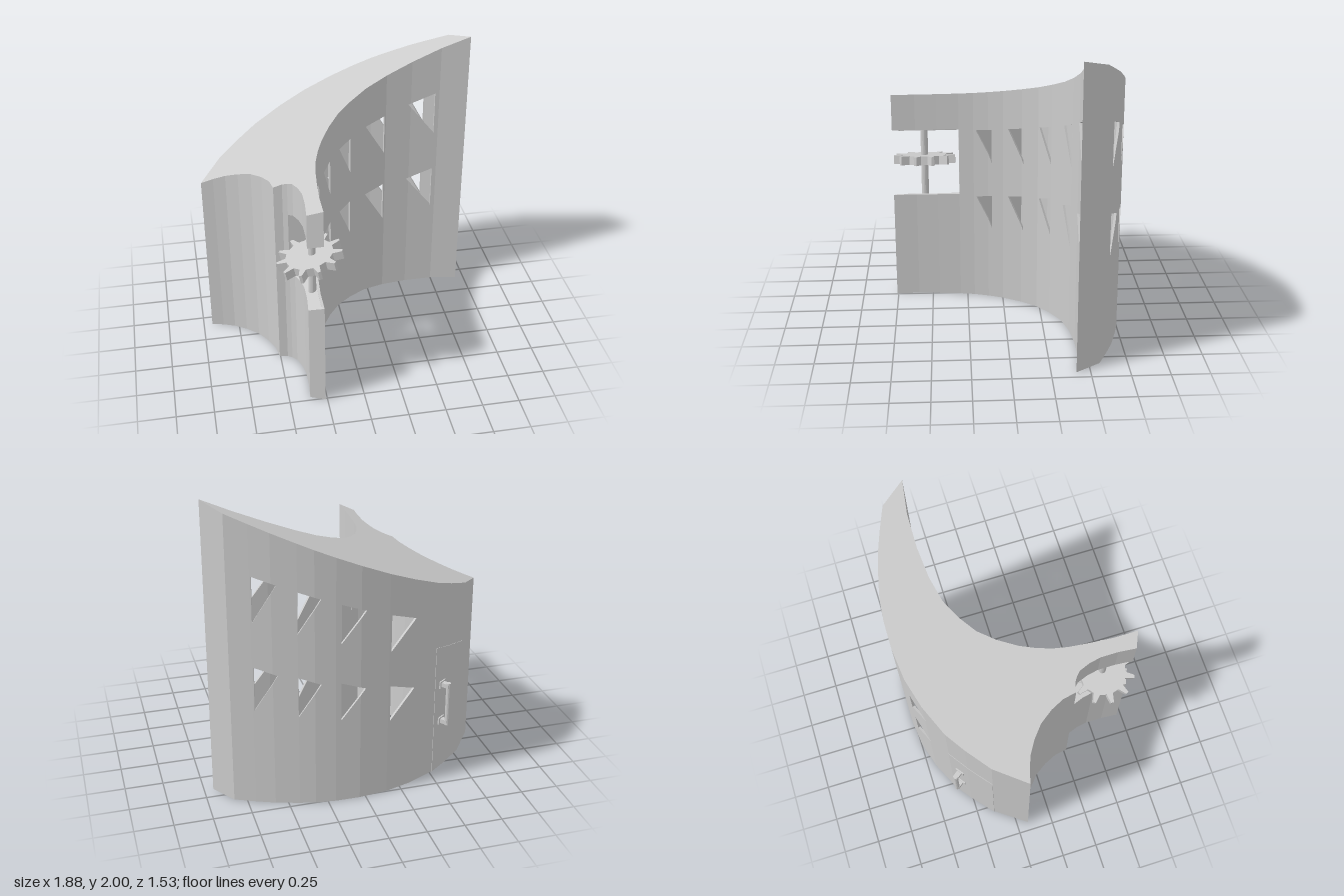
import * as THREE from 'three';
import { mergeGeometries } from 'three/addons/utils/BufferGeometryUtils.js';

const material = new THREE.MeshStandardMaterial({ color: 0xcccccc, flatShading: true, side: THREE.DoubleSide });
const WALL = 0.016;

// Sloping planes, as heights over x
const roofY = x => 1.6 + 0.4255 * x;
const notchFloorY = x => 0.84 + 0.3 * x;
const notchCeilingY = x => 1.315 + 0.3 * x;
const windowTopY = x => 1.32 + 0.36 * x;
const doorTopY = x => 1.075 + 0.29 * x;

// Plan curves as [x, z], running clockwise seen from above
const backCurve = [[-0.94, -0.17], [-0.79, -0.38], [-0.64, -0.51], [-0.52, -0.6], [-0.33, -0.69], [-0.15, -0.745],
  [0.04, -0.767], [0.2, -0.765], [0.33, -0.75], [0.43, -0.725], [0.58, -0.68], [0.7, -0.63], [0.83, -0.57]];
const frontCurve = [[0.94, -0.41], [0.75, -0.44], [0.55, -0.44], [0.37, -0.42], [0.22, -0.38], [0.1, -0.31],
  [0, -0.23], [-0.08, -0.125], [-0.15, 0], [-0.19, 0.1], [-0.22, 0.2], [-0.238, 0.3]];
const tailCurve = [[-0.238, 0.3], [-0.252, 0.45], [-0.262, 0.6], [-0.262, 0.76], [-0.36, 0.72], [-0.35, 0.6],
  [-0.35, 0.48], [-0.365, 0.4], [-0.39, 0.33], [-0.42, 0.3]];
const leftCurve = [[-0.42, 0.3], [-0.45, 0.28], [-0.505, 0.27], [-0.52, 0.18], [-0.56, 0.09], [-0.62, 0],
  [-0.7, -0.07], [-0.78, -0.12], [-0.86, -0.15]];

// Triangular windows: x range, height, and drop to the lower row
const frontWindows = [[0.53, 0.72, 0.31, 0.6], [0.22, 0.36, 0.29, 0.55], [0.01, 0.1, 0.265, 0.505],
  [-0.13, -0.07, 0.26, 0.49], [-0.215, -0.18, 0.24, 0.485]];
const backWindows = [[0.55, 0.69, 0.3, 0.6], [0.29, 0.43, 0.275, 0.57], [0.005, 0.165, 0.26, 0.53],
  [-0.345, -0.165, 0.25, 0.49]];

function add(group, name, geometry) {
  const mesh = new THREE.Mesh(geometry, material);
  mesh.name = name;
  group.add(mesh);
  return mesh;
}

// Six-sided block over plan corners p, q (outer) and pi, qi (inner), between two height functions
function block(p, q, pi, qi, low, high) {
  const corners = [];
  for (const [a, b] of [[p, q], [pi, qi]]) {
    corners.push([a[0], low(p[0]), a[1]], [a[0], high(p[0]), a[1]], [b[0], high(q[0]), b[1]], [b[0], low(q[0]), b[1]]);
  }
  const quads = [[0, 1, 2, 3], [7, 6, 5, 4], [1, 5, 6, 2], [0, 3, 7, 4], [0, 4, 5, 1], [3, 2, 6, 7]];
  const positions = quads.flatMap(([a, b, c, d]) => [a, b, c, a, c, d].flatMap(i => corners[i]));
  const geometry = new THREE.BufferGeometry();
  geometry.setAttribute('position', new THREE.Float32BufferAttribute(positions, 3));
  geometry.computeVertexNormals();
  return geometry;
}

// Flat plate over a plan outline, sheared to follow a height function
function slab(points, height, thickness) {
  const shape = new THREE.Shape(points.map(([x, z]) => new THREE.Vector2(x, z)));
  const geometry = new THREE.ExtrudeGeometry(shape, { depth: thickness, bevelEnabled: false });
  geometry.rotateX(Math.PI / 2);
  const pos = geometry.attributes.position;
  for (let i = 0; i < pos.count; i++) pos.setY(i, pos.getY(i) + height(pos.getX(i)));
  geometry.computeVertexNormals();
  return geometry;
}

// Adds points to a curve where windows begin and end
function splitAt(curve, windows) {
  const out = [];
  curve.forEach((p, i) => {
    out.push(p);
    const q = curve[i + 1];
    if (!q) return;
    windows.flatMap(w => [w[0], w[1]])
      .map(x => (x - p[0]) / (q[0] - p[0]))
      .filter(t => t > 0.001 && t < 0.999)
      .sort((a, b) => a - b)
      .forEach(t => out.push([p[0] + t * (q[0] - p[0]), p[1] + t * (q[1] - p[1])]));
  });
  return out;
}

// Moves every point of a closed outline inwards
function inset(points, distance) {
  const n = points.length;
  const normal = (a, b) => new THREE.Vector2(a[1] - b[1], b[0] - a[0]).normalize();
  return points.map((p, i) => {
    const before = normal(points[(i + n - 1) % n], p);
    const after = normal(p, points[(i + 1) % n]);
    const mid = before.clone().add(after).normalize();
    mid.multiplyScalar(distance / Math.max(mid.dot(after), 0.5));
    return [p[0] + mid.x, p[1] + mid.y];
  });
}

// Height gaps left open in a wall strip whose middle is at x
function gapsAt(x, windows) {
  const found = windows.find(w => x > w[0] && x < w[1]);
  if (!found) return [];
  const [x0, x1, drop, lower] = found;
  const y0 = windowTopY(x0), y1 = windowTopY(x1) - drop;
  const sill = v => y0 + (y1 - y0) * (v - x0) / (x1 - x0);
  return [[v => sill(v) - lower, v => windowTopY(v) - lower], [sill, windowTopY]];
}

export function createModel() {
  const model = new THREE.Group();
  model.name = 'curvedBuilding';

  // Walls, in strips with window and notch openings
  const sections = [
    { name: 'backWall', points: splitAt(backCurve, backWindows), gaps: x => gapsAt(x, backWindows) },
    { name: 'frontWall', points: splitAt(frontCurve, frontWindows).slice(0, -1), gaps: x => gapsAt(x, frontWindows) },
    { name: 'tailWall', points: tailCurve.slice(0, -1), gaps: () => [[notchFloorY, notchCeilingY]] },
    { name: 'leftWall', points: leftCurve, gaps: () => [] },
  ];
  const outline = sections.flatMap(s => s.points);
  const inner = inset(outline, WALL);
  let start = 0;
  for (const { name, points, gaps } of sections) {
    const blocks = [];
    for (let i = start; i < start + points.length; i++) {
      const j = (i + 1) % outline.length;
      const p = outline[i], q = outline[j];
      const edges = [() => 0, ...gaps((p[0] + q[0]) / 2).flat(), x => roofY(x) - 0.02];
      for (let k = 0; k < edges.length; k += 2) {
        blocks.push(block(p, q, inner[i], inner[j], edges[k], edges[k + 1]));
      }
    }
    add(model, name, mergeGeometries(blocks));
    start += points.length;
  }

  // Sloping roof
  add(model, 'roof', slab(outline, roofY, 0.02));

  // Notch linings
  add(model, 'notchFloor', slab(tailCurve, notchFloorY, WALL));
  add(model, 'notchCeiling', slab(tailCurve, x => notchCeilingY(x) + WALL, WALL));
  const [right, left] = [tailCurve[0], tailCurve[tailCurve.length - 1]];
  const behind = ([x, z]) => [x, z - WALL];
  add(model, 'notchBackWall', block(right, left, behind(right), behind(left), notchFloorY, notchCeilingY));

  // Gear with eleven tapered teeth, tilted on its axle
  const gearShape = new THREE.Shape();
  const teeth = 11;
  for (let i = 0; i < teeth; i++) {
    const a = Math.PI + i * Math.PI * 2 / teeth;
    [[-0.14, 0.155], [-0.045, 0.215], [0.045, 0.215], [0.14, 0.155]].forEach(([da, r], k) => {
      const x = r * Math.cos(a + da), y = r * Math.sin(a + da);
      if (i + k === 0) gearShape.moveTo(x, y);
      else gearShape.lineTo(x, y);
    });
  }
  const gearGeometry = new THREE.ExtrudeGeometry(gearShape, { depth: 0.06, bevelEnabled: false });
  gearGeometry.translate(0, 0, -0.03).rotateX(-Math.PI / 2);
  const gear = add(model, 'gear', gearGeometry);
  gear.position.set(-0.315, 1.01, 0.54);
  gear.rotation.z = 0.22;
  add(model, 'axle', new THREE.CylinderGeometry(0.025, 0.025, 0.49, 16)).position.set(-0.305, 0.985, 0.54);

  // Door panel lying on the back wall
  const doorPoints = backCurve.slice(1, 4);
  const proud = ([x, z]) => [x - 0.0018, z - 0.0024];
  add(model, 'door', mergeGeometries([0, 1].map(i => block(proud(doorPoints[i]), proud(doorPoints[i + 1]),
    doorPoints[i], doorPoints[i + 1], () => 0, doorTopY))));

  // Door handle: upright bar on two brackets
  const handle = new THREE.Group();
  handle.name = 'doorHandle';
  handle.position.set(-0.585, 0.5, -0.551);
  handle.rotation.y = Math.atan2(-0.6, -0.8);
  add(handle, 'handleBar', new THREE.CylinderGeometry(0.016, 0.016, 0.31, 12)).position.z = 0.055;
  for (const side of [-1, 1]) {
    add(handle, 'handleBracket', new THREE.BoxGeometry(0.035, 0.03, 0.065)).position.set(0, side * 0.135, 0.03);
    add(handle, 'handlePlate', new THREE.BoxGeometry(0.065, 0.05, 0.012)).position.set(0, side * 0.135, 0.006);
  }
  model.add(handle);

  return model;
}
